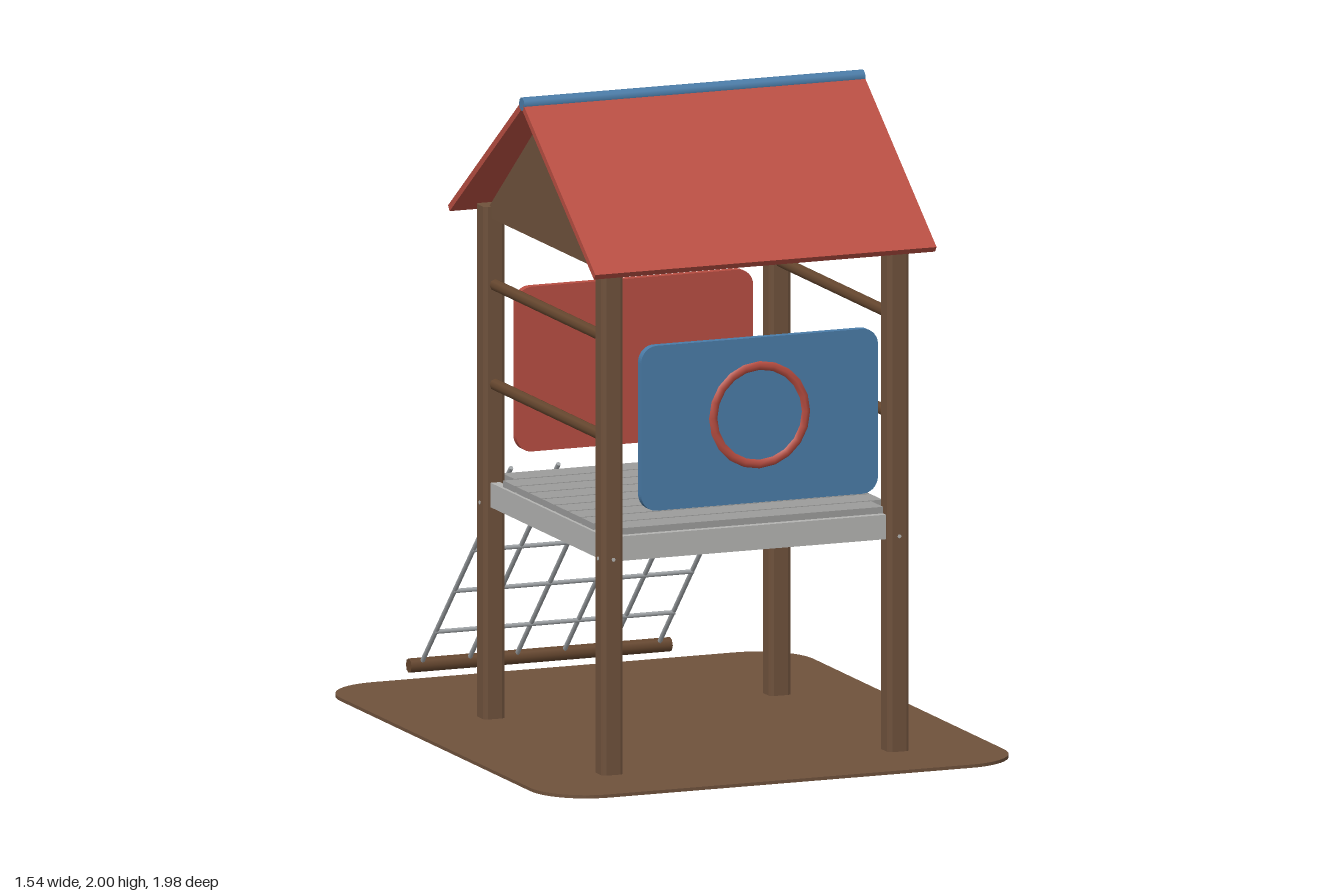
import * as THREE from 'three';

const mat = (name, color) => new THREE.MeshStandardMaterial({ name, color });

function roundedRect(w, h, r) {
  const x = w / 2, y = h / 2, s = new THREE.Shape();
  s.moveTo(-x + r, -y);
  s.lineTo(x - r, -y).absarc(x - r, -y + r, r, -Math.PI / 2, 0);
  s.lineTo(x, y - r).absarc(x - r, y - r, r, 0, Math.PI / 2);
  s.lineTo(-x + r, y).absarc(-x + r, y - r, r, Math.PI / 2, Math.PI);
  s.lineTo(-x, -y + r).absarc(-x + r, -y + r, r, Math.PI, Math.PI * 1.5);
  return s;
}

// Slab of a shape, centred on its thickness
function slab(shape, depth, curveSegments = 6) {
  const g = new THREE.ExtrudeGeometry(shape, { depth, bevelEnabled: false, curveSegments });
  return g.translate(0, 0, -depth / 2);
}

export function createModel() {
  const root = new THREE.Group();
  root.name = 'playTower';
  const wood = mat('wood brown', 0x6f523c);
  const rail = mat('rail brown', 0x66472f);
  const red = mat('red', 0xb84e42);
  const blue = mat('blue', 0x4a7ca8);
  const metal = mat('frame grey', 0xb4b4b2);
  const plankMat = mat('plank grey', 0x9c9c9b);
  const rope = mat('rope grey', 0xa2a6a9);

  const midZ = 0.2275, postX = 0.465, postZ = 0.4625;

  function add(name, geometry, material, x = 0, y = 0, z = 0) {
    const m = new THREE.Mesh(geometry, material);
    m.name = name;
    m.position.set(x, y, z);
    root.add(m);
    return m;
  }
  // Round bar between two points
  function bar(name, a, b, r, material, sides = 8) {
    const from = new THREE.Vector3(...a), to = new THREE.Vector3(...b);
    const dir = to.clone().sub(from);
    const m = add(name, new THREE.CylinderGeometry(r, r, dir.length(), sides), material);
    m.position.copy(from).add(to).multiplyScalar(0.5);
    m.quaternion.setFromUnitVectors(new THREE.Vector3(0, 1, 0), dir.normalize());
    return m;
  }

  // Ground mat
  add('groundMat', slab(roundedRect(1.54, 1.85, 0.18), 0.01).rotateX(-Math.PI / 2), wood, 0, 0.005, 0.065);

  // Posts with chamfered edges, and frame bolts
  const postGeo = slab(roundedRect(0.07, 0.07, 0.012), 1.58, 1).rotateX(-Math.PI / 2);
  for (const sx of [-1, 1]) for (const sz of [-1, 1]) {
    const z = midZ + sz * postZ;
    add('post', postGeo, wood, sx * postX, 0.79, z);
    bar('postBolt', [sx * postX, 0.67, z], [sx * postX, 0.67, z + sz * 0.037], 0.006, metal);
    bar('postBolt', [sx * postX, 0.67, z], [sx * (postX + 0.037), 0.67, z], 0.006, metal);
  }

  // Deck frame
  for (const s of [-1, 1]) {
    add('deckBeam', new THREE.BoxGeometry(0.86, 0.075, 0.03), metal, 0, 0.6975, midZ + s * postZ);
    add('deckSideBeam', new THREE.BoxGeometry(0.03, 0.075, 0.855), metal, s * postX, 0.6975, midZ);
  }
  // Deck planks; the end ones fit between the posts
  for (let i = -4; i <= 4; i++) {
    const width = Math.abs(i) === 4 ? 0.86 : 0.94;
    add('deckPlank', new THREE.BoxGeometry(width, 0.02, 0.093), plankMat, 0, 0.745, midZ + i * 0.102);
  }

  // Side rails
  for (const s of [-1, 1]) for (const y of [1.035, 1.34]) {
    bar('sideRail', [s * postX, y, midZ - 0.44], [s * postX, y, midZ + 0.44], 0.018, rail);
  }

  // Front and back panels, and the ring window
  const panelGeo = slab(roundedRect(0.77, 0.505, 0.05), 0.025);
  add('frontPanel', panelGeo, blue, 0, 1.0675, 0.7375);
  add('backPanel', panelGeo, red, 0, 1.0675, -0.238);
  add('windowRing', new THREE.TorusGeometry(0.151, 0.018, 8, 20), red, 0, 1.083, 0.739);

  // Gables
  const tri = new THREE.Shape();
  tri.moveTo(-0.485, 1.545);
  tri.lineTo(0.485, 1.545);
  tri.lineTo(0, 1.95);
  tri.closePath();
  const gableGeo = slab(tri, 0.025).rotateY(Math.PI / 2);
  for (const s of [-1, 1]) add('gable', gableGeo, wood, s * postX, 0, midZ);

  // Roof slabs and ridge
  const run = 0.57, drop = 0.422, t = 0.02;
  for (const s of [-1, 1]) {
    const r = add('roofSlab', new THREE.BoxGeometry(1.11, t, Math.hypot(run, drop)), red,
      0, 1.977 - drop / 2, 0.224 + s * run / 2);
    r.rotation.x = s * Math.atan2(drop, run);
  }
  bar('roofRidge', [-0.555, 1.979, 0.224], [0.555, 1.979, 0.224], 0.021, blue, 10);

  // Climbing net
  const topY = 0.762, topZ = -0.265, lowY = 0.027, lowZ = -0.972;
  for (let i = 0; i < 6; i++) {
    const x = -0.386 + i * 0.1544;
    bar('netRope', [x, topY, topZ], [x, lowY, lowZ], 0.007, rope, 6);
  }
  for (let i = 1; i <= 4; i++) {
    const k = i * 0.207;
    const y = topY + (lowY - topY) * k - 0.003, z = topZ + (lowZ - topZ) * k;
    bar('netCrossRope', [-0.39, y, z], [0.39, y, z], 0.007, rope, 6);
  }
  bar('netLog', [-0.425, lowY, lowZ], [0.425, lowY, lowZ], 0.022, rail);

  return root;
}
